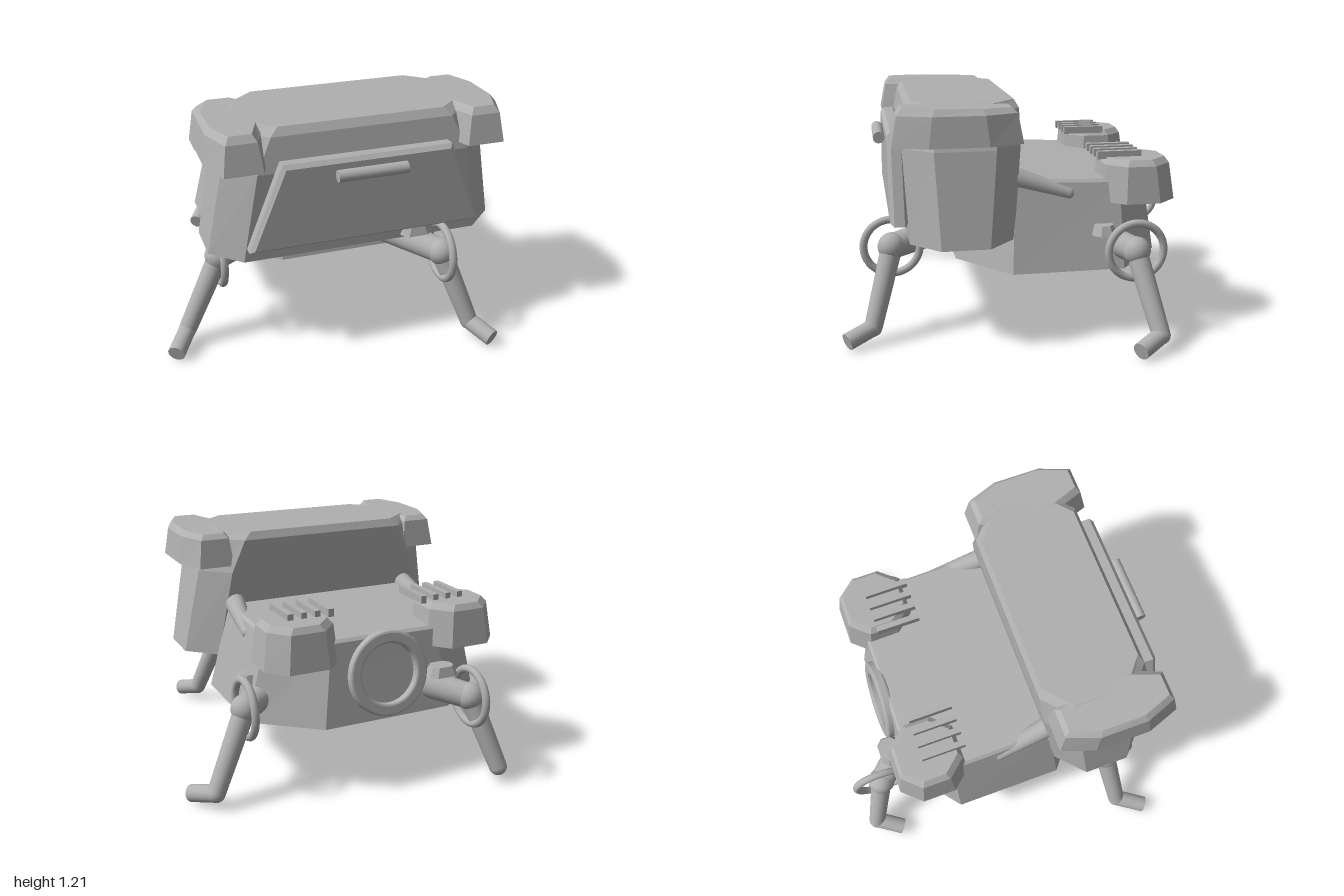
import * as THREE from 'three';

const grey = new THREE.MeshStandardMaterial({ color: 0xb0b0b0 });

const V = (p) => new THREE.Vector3(...p);

function add(parent, name, geometry, position = [0, 0, 0]) {
  const mesh = new THREE.Mesh(geometry, grey);
  mesh.name = name;
  mesh.position.set(...position);
  parent.add(mesh);
  return mesh;
}

// Rectangle with cut corners at height y; the back edge may drop by tilt
function octagon(y, x0, x1, z0, z1, cx, cz, tilt = 0) {
  return [
    [x1, z1 - cz], [x1, z0 + cz], [x1 - cx, z0], [x0 + cx, z0],
    [x0, z0 + cz], [x0, z1 - cz], [x0 + cx, z1], [x1 - cx, z1],
  ].map(([x, z]) => [x, y - tilt * (z1 - z) / (z1 - z0), z]);
}

// Closed faceted solid through a stack of cross-sections, bottom to top
function loft(rings) {
  const out = [];
  const tri = (a, b, c) => out.push(...a, ...b, ...c);
  const n = rings[0].length;
  const top = rings[rings.length - 1];
  for (let r = 0; r < rings.length - 1; r++) {
    for (let j = 0; j < n; j++) {
      const k = (j + 1) % n;
      tri(rings[r][j], rings[r][k], rings[r + 1][k]);
      tri(rings[r][j], rings[r + 1][k], rings[r + 1][j]);
    }
  }
  for (let j = 1; j < n - 1; j++) {
    tri(top[0], top[j], top[j + 1]);
    tri(rings[0][0], rings[0][j + 1], rings[0][j]);
  }
  const g = new THREE.BufferGeometry();
  g.setAttribute('position', new THREE.Float32BufferAttribute(out, 3));
  g.computeVertexNormals();
  return g;
}

// Round bar from a to b
function bar(parent, name, a, b, ra, rb = ra) {
  const from = V(a), to = V(b);
  const dir = to.clone().sub(from);
  const mesh = add(parent, name, new THREE.CylinderGeometry(rb, ra, dir.length(), 24));
  mesh.position.copy(from).add(to).multiplyScalar(0.5);
  mesh.quaternion.setFromUnitVectors(new THREE.Vector3(0, 1, 0), dir.normalize());
  return mesh;
}

function ball(parent, name, p, r) {
  return add(parent, name, new THREE.SphereGeometry(r, 20, 14), p);
}

// Leg: arm from the body, hub with ring, shin and forward-pointing foot
function makeLeg(name, { root, hub, knee, toe, bracket }) {
  const leg = new THREE.Group();
  leg.name = name;
  bar(leg, 'arm', root, hub, 0.075, 0.065);
  ball(leg, 'hub', hub, 0.072);
  const ring = add(leg, 'hubRing', new THREE.TorusGeometry(0.142, 0.02, 12, 40), hub);
  ring.rotation.y = Math.PI / 2;
  bar(leg, 'shin', hub, knee, 0.055, 0.046);
  ball(leg, 'ankle', knee, 0.046);
  bar(leg, 'foot', knee, toe, 0.044);
  const [x, y, z] = bracket;
  add(leg, 'bracket', loft([
    octagon(y - 0.025, x - 0.08, x + 0.08, z - 0.06, z + 0.06, 0.03, 0.03),
    octagon(y + 0.025, x - 0.06, x + 0.06, z - 0.045, z + 0.045, 0.025, 0.025),
  ]));
  return leg;
}

export function createModel() {
  const model = new THREE.Group();
  model.name = 'walker';

  // Low rear hull
  add(model, 'hull', loft([
    octagon(0.37, -0.66, 0.66, -0.69, 0.38, 0.31, 0.25),
    octagon(0.82, -0.555, 0.555, -0.635, 0.3, 0.26, 0.2, 0.035),
    octagon(0.835, -0.54, 0.54, -0.62, 0.29, 0.255, 0.195, 0.035),
  ]));

  // Tall front cabin
  add(model, 'cabin', loft([
    octagon(0.54, -0.76, 0.76, 0.115, 0.63, 0.15, 0.14),
    octagon(1.0, -0.675, 0.675, 0.07, 0.65, 0.14, 0.14),
    octagon(1.17, -0.6, 0.6, 0.065, 0.62, 0.14, 0.13),
    octagon(1.21, -0.56, 0.56, 0.085, 0.595, 0.14, 0.12),
  ]));

  // Tapered front panel with its grab bar
  const outline = new THREE.Shape();
  outline.moveTo(-0.575, 0.64).lineTo(0.575, 0.64).lineTo(0.415, 1.04).lineTo(-0.415, 1.04).closePath();
  add(model, 'frontPanel', new THREE.ExtrudeGeometry(outline, {
    depth: 0.05, bevelThickness: 0.02, bevelSize: 0.02, bevelSegments: 1,
  }), [0, 0, 0.65]);
  bar(model, 'grabBar', [-0.175, 0.99, 0.75], [0.175, 0.99, 0.75], 0.03);

  for (const s of [-1, 1]) {
    const side = s > 0 ? 'left' : 'right';
    const span = (a, b) => (s > 0 ? [a, b] : [-b, -a]);

    // Shoulder pod on the cabin
    add(model, side + 'ShoulderPod', loft([
      octagon(1.035, ...span(0.455, 0.765), 0.085, 0.71, 0.06, 0.17),
      octagon(1.18, ...span(0.475, 0.745), 0.11, 0.68, 0.06, 0.16),
      octagon(1.215, ...span(0.5, 0.72), 0.135, 0.655, 0.055, 0.15, 0.01),
    ]));

    // Rear pod with cooling fins
    add(model, side + 'RearPod', loft([
      octagon(0.695, ...span(0.25, 0.64), -0.725, -0.35, 0.09, 0.1),
      octagon(0.88, ...span(0.27, 0.615), -0.7, -0.365, 0.085, 0.095),
      octagon(0.91, ...span(0.295, 0.59), -0.68, -0.385, 0.08, 0.09),
    ]));
    for (let i = 0; i < 4; i++) {
      add(model, side + 'Fin', new THREE.BoxGeometry(0.03, 0.04, 0.23),
        [s * (0.262 + i * 0.071), 0.92, -0.45]);
    }

    // Tapered strut between cabin and hull
    const end = [s * 0.545, 0.745, -0.17];
    bar(model, side + 'Strut', [s * 0.505, 0.86, 0.2], end, 0.062, 0.035);
    ball(model, side + 'StrutEnd', end, 0.035);
  }

  // Round port on the back wall
  const port = new THREE.Group();
  port.name = 'rearPort';
  port.position.set(0, 0.6, -0.65);
  port.rotation.set(0.14, Math.PI, 0);
  const rim = new THREE.Shape().absarc(0, 0, 0.205, 0, Math.PI * 2);
  rim.holes.push(new THREE.Path().absarc(0, 0, 0.165, 0, Math.PI * 2, true));
  add(port, 'portRim', new THREE.ExtrudeGeometry(rim, {
    depth: 0.035, curveSegments: 32, bevelThickness: 0.012, bevelSize: 0.012, bevelSegments: 2,
  }));
  add(port, 'portPlate', new THREE.CylinderGeometry(0.17, 0.17, 0.02, 32)).rotation.x = Math.PI / 2;
  model.add(port);

  // Four legs in a striding stance
  const legs = {
    frontRightLeg: {
      root: [-0.43, 0.5, 0.28], hub: [-0.69, 0.47, 0.4],
      knee: [-0.88, 0.09, 0.44], toe: [-0.965, 0.05, 0.58], bracket: [-0.6, 0.58, 0.25],
    },
    frontLeftLeg: {
      root: [0.16, 0.5, 0.37], hub: [0.4, 0.47, 0.71],
      knee: [0.53, 0.09, 0.82], toe: [0.6, 0.05, 0.95], bracket: [0.285, 0.585, 0.62],
    },
    backLeftLeg: {
      root: [0.5, 0.5, -0.36], hub: [0.69, 0.47, -0.49],
      knee: [0.88, 0.09, -0.57], toe: [0.965, 0.05, -0.44], bracket: [0.6, 0.57, -0.34],
    },
    backRightLeg: {
      root: [-0.22, 0.5, -0.6], hub: [-0.4, 0.46, -0.81],
      knee: [-0.52, 0.09, -0.92], toe: [-0.6, 0.05, -0.79], bracket: [-0.285, 0.59, -0.71],
    },
  };
  for (const [name, spec] of Object.entries(legs)) model.add(makeLeg(name, spec));

  return model;
}
